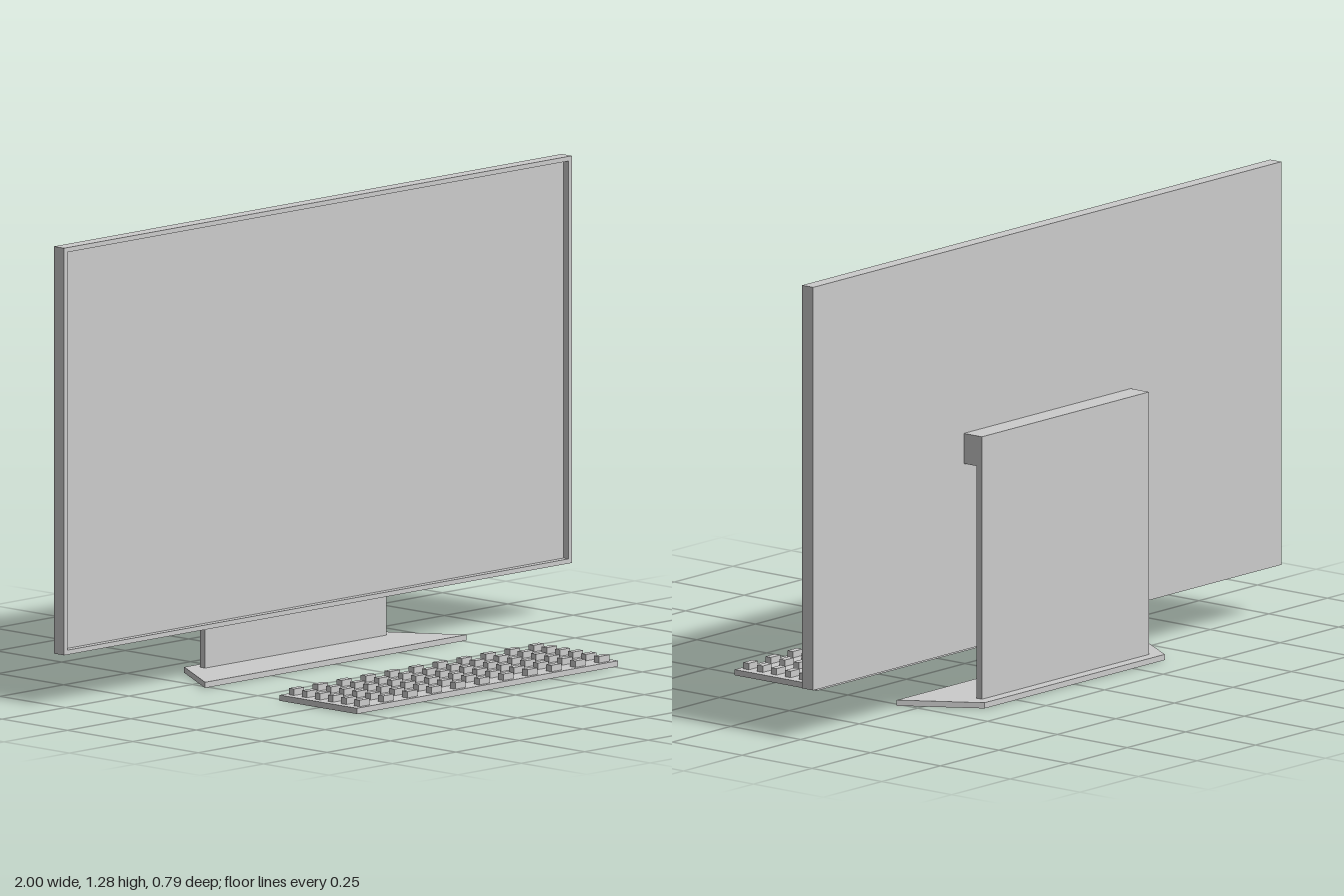
import * as THREE from 'three';

const grey = new THREE.MeshStandardMaterial({ color: 0xcccccc, flatShading: true });

// Box given by its min and max on each axis
function box(name, [x0, x1], [y0, y1], [z0, z1]) {
  const mesh = new THREE.Mesh(new THREE.BoxGeometry(x1 - x0, y1 - y0, z1 - z0), grey);
  mesh.position.set((x0 + x1) / 2, (y0 + y1) / 2, (z0 + z1) / 2);
  mesh.name = name;
  return mesh;
}

function polygon(points, Type = THREE.Shape) {
  return new Type(points.map(([x, y]) => new THREE.Vector2(x, y)));
}

function rectangle(x, y0, y1, Type) {
  return polygon([[-x, y0], [x, y0], [x, y1], [-x, y1]], Type);
}

function createDisplay() {
  const display = new THREE.Group();
  display.name = 'display';
  const bottom = 0.145, top = 1.28, back = -0.295, glass = -0.274, front = -0.255, rim = 0.013;

  // Solid panel whose front is the recessed screen
  display.add(box('screenPanel', [-1, 1], [bottom, top], [back, glass]));

  // Thin raised bezel around the screen
  const frame = rectangle(1, bottom, top);
  frame.holes.push(rectangle(1 - rim, bottom + rim, top - rim, THREE.Path));
  const bezel = new THREE.Mesh(
    new THREE.ExtrudeGeometry(frame, { depth: front - glass, bevelEnabled: false }), grey);
  bezel.position.z = glass;
  bezel.name = 'bezel';
  display.add(bezel);
  return display;
}

function createStand() {
  const stand = new THREE.Group();
  stand.name = 'stand';
  const thickness = 0.016;

  // Trapezoid foot, wider at the front; shape y becomes -z when laid flat
  const outline = polygon([[-0.515, 0.187], [0.515, 0.187], [0.385, 0.393], [-0.385, 0.393]]);
  const foot = new THREE.Mesh(
    new THREE.ExtrudeGeometry(outline, { depth: thickness, bevelEnabled: false }), grey);
  foot.rotation.x = -Math.PI / 2;
  foot.name = 'foot';
  stand.add(foot);

  // Upright and the arm that reaches forward to the display, as one L profile
  const profile = polygon([
    [0.36, thickness], [0.36, 0.755], [0.295, 0.755], [0.295, 0.67], [0.34, 0.67], [0.34, thickness],
  ]);
  const halfWidth = 0.357;
  const upright = new THREE.Mesh(
    new THREE.ExtrudeGeometry(profile, { depth: 2 * halfWidth, bevelEnabled: false }), grey);
  upright.rotation.y = Math.PI / 2;
  upright.position.x = -halfWidth;
  upright.name = 'uprightAndArm';
  stand.add(upright);
  return stand;
}

function createKeyboard() {
  const keyboard = new THREE.Group();
  keyboard.name = 'keyboard';
  keyboard.add(box('keyboardBase', [-0.515, 0.515], [0, 0.016], [0.098, 0.393]));

  // Grid of keys, 11 columns by 6 rows
  const keys = new THREE.Group();
  keys.name = 'keys';
  for (let row = 0; row < 6; row++) {
    for (let column = 0; column < 11; column++) {
      const x = (column - 5) * 0.0945;
      const z = 0.121 + row * 0.05;
      keys.add(box('key', [x - 0.02, x + 0.02], [0.016, 0.034], [z - 0.01, z + 0.01]));
    }
  }
  keyboard.add(keys);
  return keyboard;
}

export function createModel() {
  const model = new THREE.Group();
  model.name = 'desktopComputer';
  model.add(createDisplay(), createStand(), createKeyboard());
  return model;
}
